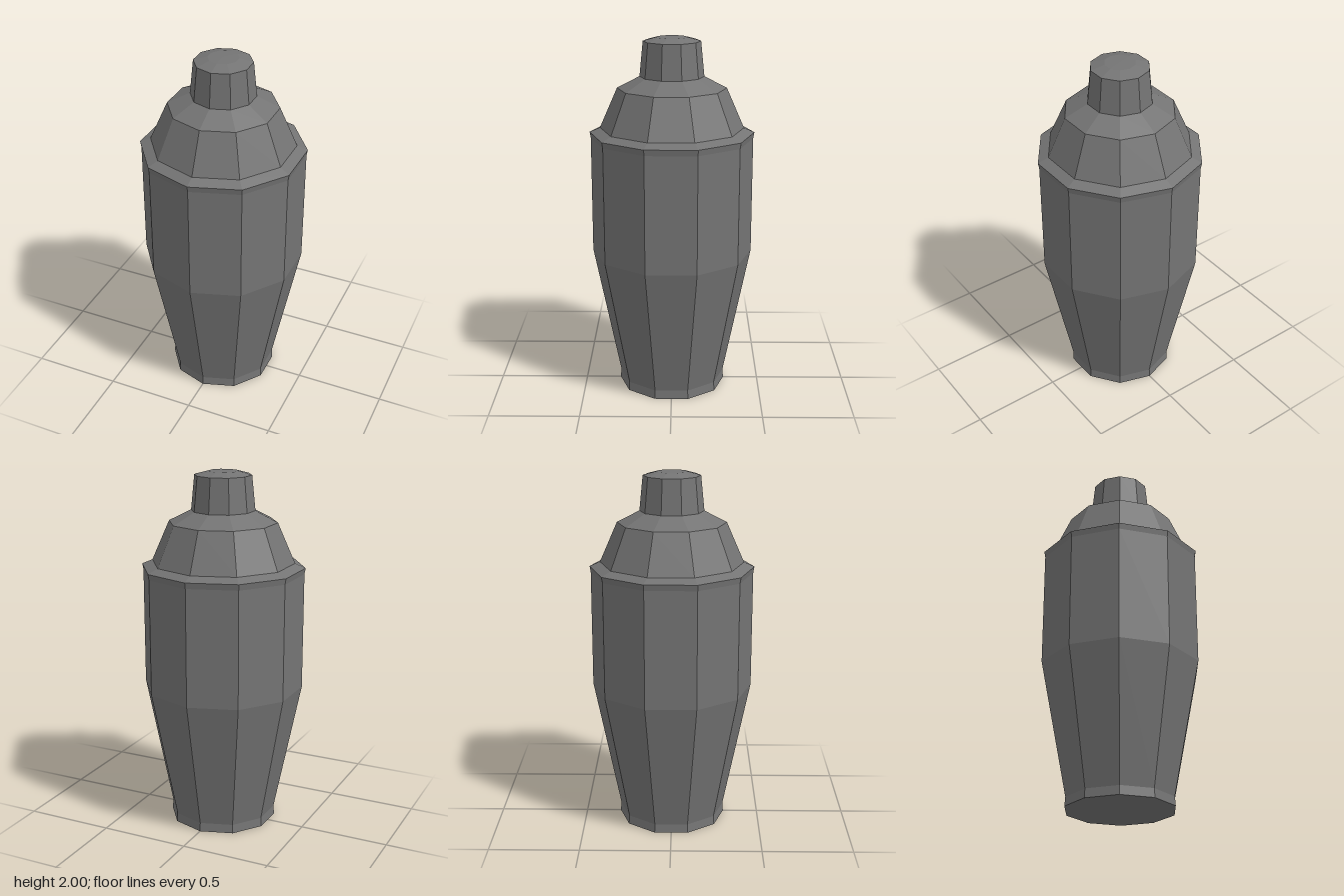
import * as THREE from 'three';

const SIDES = 10;

export function createModel() {
  const group = new THREE.Group();
  group.name = 'cocktailShaker';
  const material = new THREE.MeshStandardMaterial({
    color: 0x747474, flatShading: true, side: THREE.DoubleSide,
  });

  // Turned part from [radius, height] pairs, listed bottom to top
  const turn = (name, profile) => {
    const points = profile.map(([r, y]) => new THREE.Vector2(r, y));
    const mesh = new THREE.Mesh(new THREE.LatheGeometry(points, SIDES), material);
    mesh.name = name;
    group.add(mesh);
  };

  // Closed foot and tapering cup
  turn('foot', [[0, 0], [0.302, 0], [0.298, 0.05]]);
  turn('cup', [[0.298, 0.05], [0.448, 0.795], [0.448, 1.445]]);

  // Rim that slightly overhangs the cup
  turn('rim', [[0.448, 1.445], [0.454, 1.478], [0.396, 1.503]]);

  // Sloping strainer lid with a shallow shoulder
  turn('lid', [[0.396, 1.503], [0.299, 1.724], [0.176, 1.787]]);

  // Small cap with a faintly domed top
  turn('cap', [[0.176, 1.787], [0.157, 1.978], [0.083, 1.998], [0, 2]]);

  return group;
}
